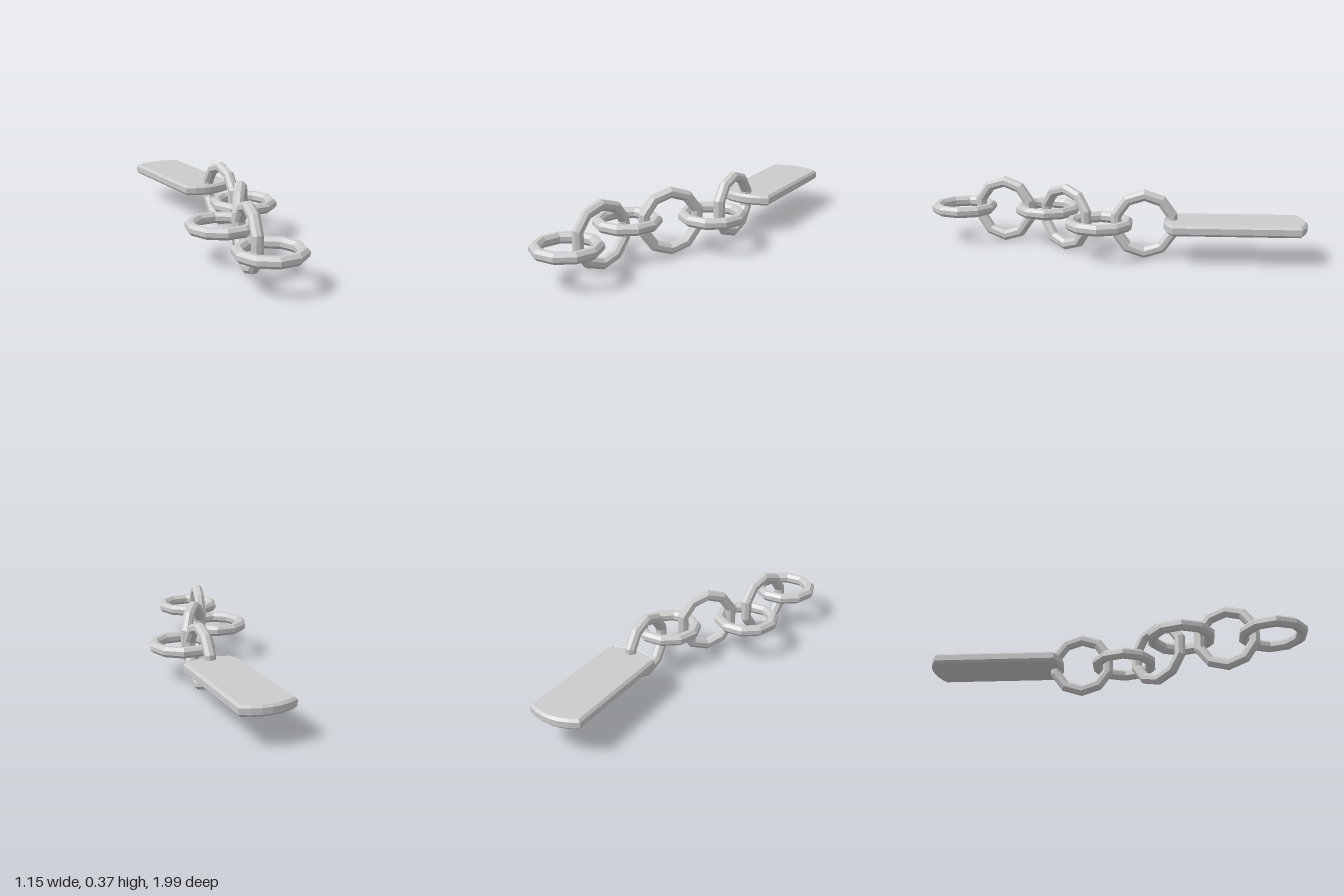
import * as THREE from 'three';

const MID_Y = 0.19;
const material = new THREE.MeshStandardMaterial({ color: 0xcccccc, flatShading: true });
const rad = THREE.MathUtils.degToRad;

// Ten-sided ring with an octagonal section, lying flat, corners on the x axis
function ringGeometry(radius, halfThickness) {
  const r = halfThickness / Math.cos(Math.PI / 8);
  const section = [];
  for (let i = 0; i <= 8; i++) {
    const a = ((i + 0.5) * Math.PI) / 4;
    section.push(new THREE.Vector2(radius + r * Math.cos(a), r * Math.sin(a)));
  }
  return new THREE.LatheGeometry(section, 10).rotateY(Math.PI / 2);
}

// Plate with bowed ends, bevelled edges and a slot at the +x end
function tagGeometry() {
  const L = 0.338, W = 0.15, bow = 0.045, thick = 0.058, bevel = 0.013;
  const plate = new THREE.Shape();
  plate.moveTo(-L, -W);
  plate.lineTo(L, -W);
  plate.quadraticCurveTo(L + 2 * bow, 0, L, W);
  plate.lineTo(-L, W);
  plate.quadraticCurveTo(-L - 2 * bow, 0, -L, -W);

  const slot = new THREE.Path();
  slot.moveTo(L - 0.047, -0.108);
  slot.lineTo(L - 0.047, 0.108);
  slot.lineTo(L + 0.003, 0.108);
  slot.quadraticCurveTo(L + 0.045, 0, L + 0.003, -0.108);
  slot.closePath();
  plate.holes.push(slot);

  const geometry = new THREE.ExtrudeGeometry(plate, {
    depth: thick - 2 * bevel, curveSegments: 6,
    bevelThickness: bevel, bevelSize: bevel, bevelOffset: -bevel, bevelSegments: 1,
  });
  return geometry.translate(0, 0, bevel - thick / 2).rotateX(-Math.PI / 2);
}

export function createModel() {
  const model = new THREE.Group();

  // heading: angle in the ground plane, from +z towards +x
  function add(name, geometry, x, z, heading = 90) {
    const mesh = new THREE.Mesh(geometry, material);
    mesh.name = name;
    mesh.position.set(x, MID_Y, z);
    mesh.rotation.y = rad(heading - 90);
    model.add(mesh);
  }

  const flat = ringGeometry(0.158, 0.029);
  // Upright links have a corner at the top and bottom
  const upright = flat.clone().rotateY(Math.PI / 2).rotateX(Math.PI / 2);

  // Links lying flat
  [[0.187, -0.05], [0.108, 0.41], [0.387, 0.815]].forEach(([x, z], i) =>
    add(`flatLink${i + 1}`, flat, x, z));

  // Links standing upright between them
  [[0.038, -0.243, 35], [0.189, 0.193, 0], [0.265, 0.6, 21.5]].forEach(([x, z, a], i) =>
    add(`uprightLink${i + 1}`, upright, x, z, a));

  // Tag at the end of the chain
  add('tagPlate', tagGeometry(), -0.25, -0.635, 36.6);

  return model;
}
